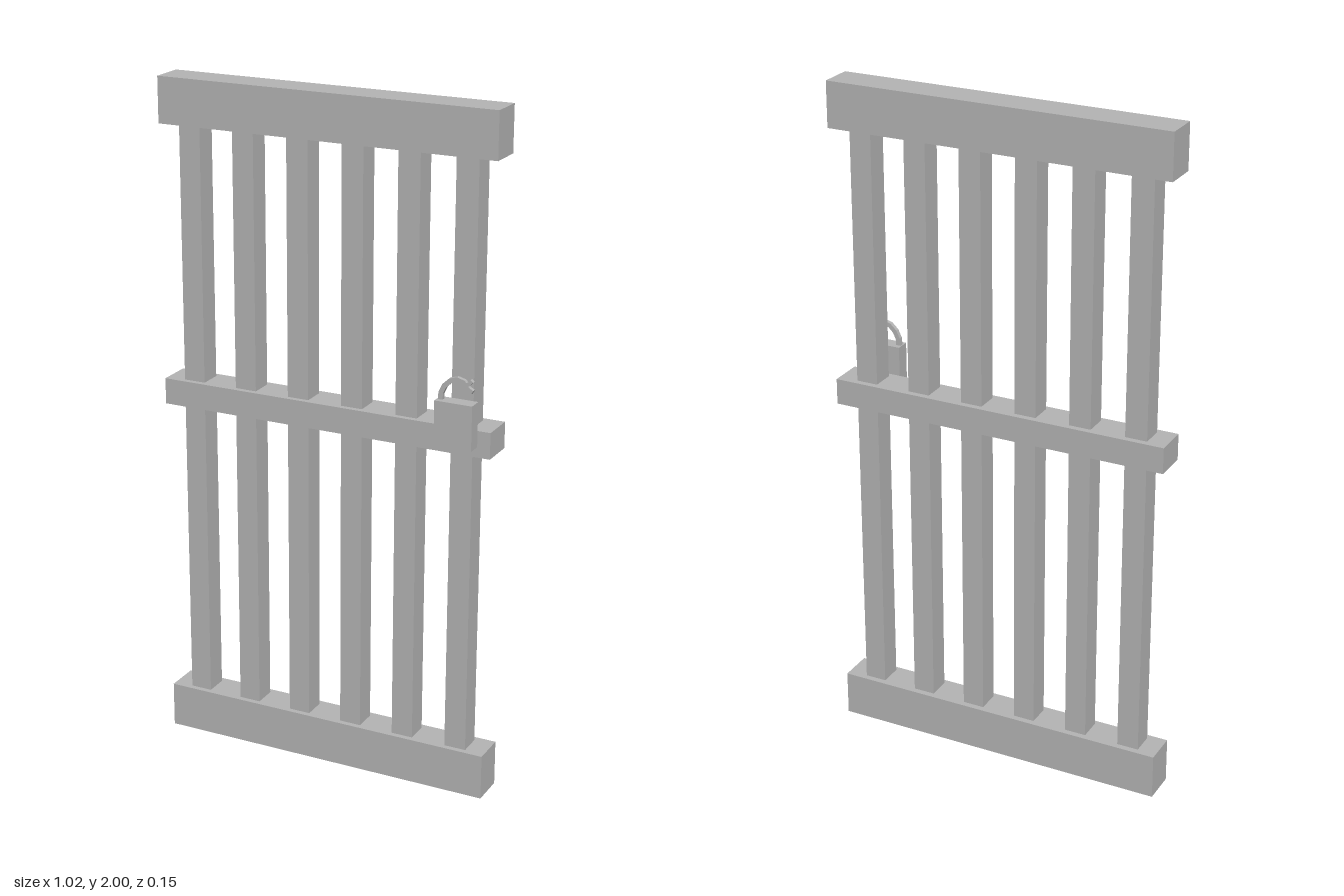
import * as THREE from 'three';

export function createModel() {
  const gate = new THREE.Group();
  gate.name = 'barredGate';
  const steel = new THREE.MeshStandardMaterial({ color: 0xb4b4b4 });
  steel.name = 'grey steel';

  // Box given by its extents on each axis
  function box(name, x0, x1, y0, y1, z0, z1, parent = gate) {
    const mesh = new THREE.Mesh(new THREE.BoxGeometry(x1 - x0, y1 - y0, z1 - z0), steel);
    mesh.position.set((x0 + x1) / 2, (y0 + y1) / 2, (z0 + z1) / 2);
    mesh.name = name;
    parent.add(mesh);
  }

  // Horizontal rails
  box('bottomRail', -0.51, 0.51, 0, 0.135, -0.077, 0.025);
  box('middleRail', -0.51, 0.51, 1.043, 1.12, -0.077, 0.025);
  box('topRail', -0.51, 0.51, 1.867, 2, -0.077, 0.025);

  // Square upright bars, running between the rails
  for (let i = 0; i < 6; i++) {
    const x = -0.421 + i * 0.168;
    box('bar' + (i + 1), x - 0.0325, x + 0.0325, 0.13, 1.87, -0.059, 0.009);
  }

  // Padlock hanging in front of the middle rail
  const padlock = new THREE.Group();
  padlock.name = 'padlock';
  gate.add(padlock);
  box('lockBody', 0.363, 0.474, 1.075, 1.205, 0.03, 0.072, padlock);

  // Flat strip of constant width following a path in the xy plane
  function strip(name, path, half) {
    const left = [], right = [];
    path.forEach((p, i) => {
      const a = path[Math.max(i - 1, 0)], b = path[Math.min(i + 1, path.length - 1)];
      const dx = b[0] - a[0], dy = b[1] - a[1], len = Math.hypot(dx, dy);
      const nx = -dy / len * half, ny = dx / len * half;
      left.push(new THREE.Vector2(p[0] + nx, p[1] + ny));
      right.unshift(new THREE.Vector2(p[0] - nx, p[1] - ny));
    });
    const geometry = new THREE.ExtrudeGeometry(new THREE.Shape([...left, ...right]), { depth: 0.012, bevelEnabled: false });
    const mesh = new THREE.Mesh(geometry, steel);
    mesh.position.z = 0.045;
    mesh.name = name;
    padlock.add(mesh);
  }

  // Open shackle with a notched free end
  strip('shackle', [[0.373, 1.2], [0.375, 1.225], [0.385, 1.246], [0.402, 1.262],
    [0.422, 1.268], [0.44, 1.263], [0.452, 1.25]], 0.007);
  strip('shackleUpperTip', [[0.444, 1.256], [0.456, 1.26], [0.465, 1.27]], 0.005);
  strip('shackleLowerTip', [[0.447, 1.254], [0.455, 1.245], [0.467, 1.238]], 0.006);

  return gate;
}
